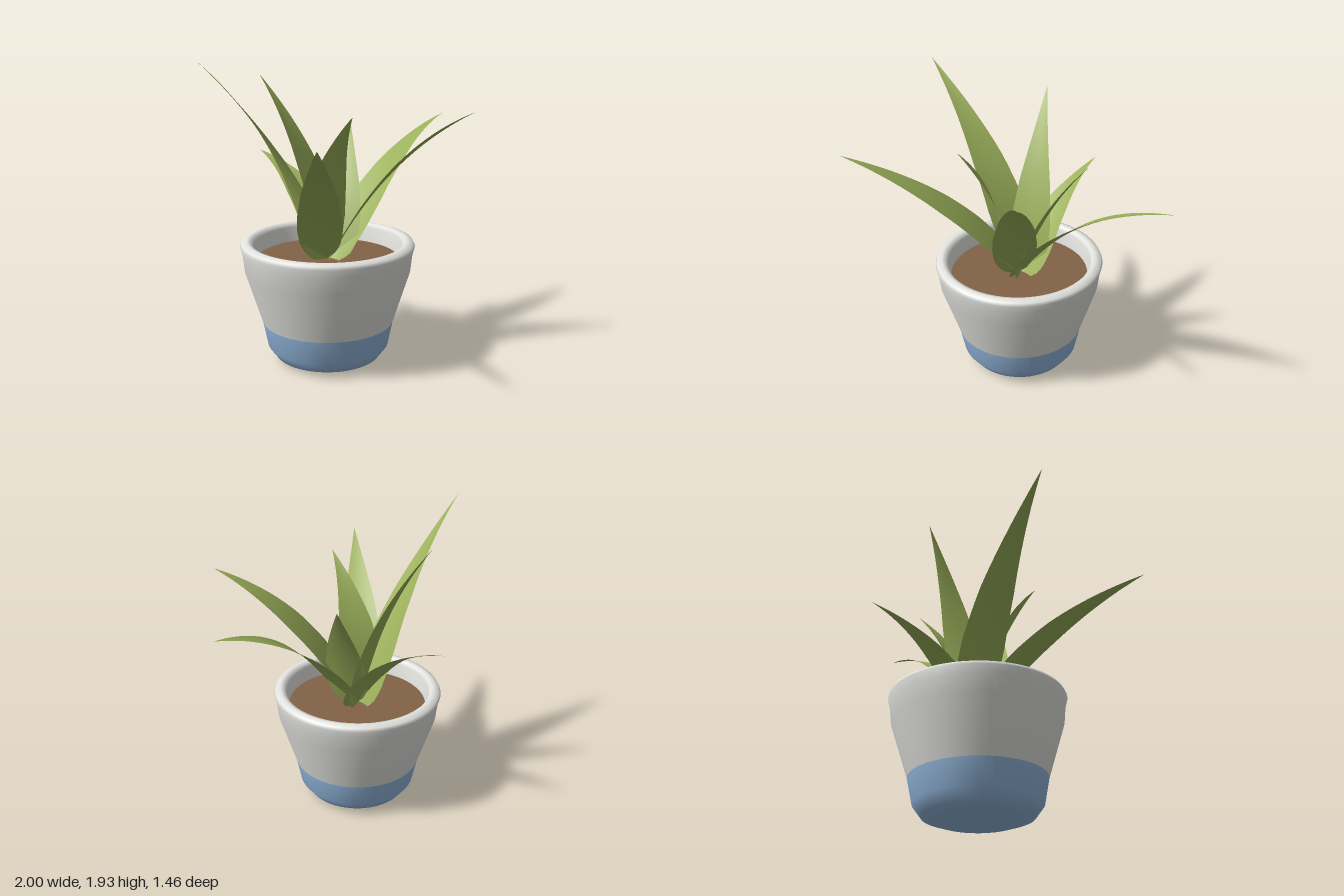
import * as THREE from 'three';

const CX = -0.145; // the pot sits off centre because the leaves lean right
const V = (x, y, z) => new THREE.Vector3(x, y, z);

function lathe(points, material, name) {
  const geo = new THREE.LatheGeometry(points.map(([r, y]) => new THREE.Vector2(r, y)), 64);
  const mesh = new THREE.Mesh(geo, material);
  mesh.name = name;
  mesh.position.x = CX;
  return mesh;
}

// Leaf width along its length: rounded foot, broad lower third, sharp tip
const WIDTHS = [[0, 0.1], [0.04, 0.2], [0.1, 0.255], [0.18, 0.28], [0.28, 0.28],
  [0.5, 0.215], [0.7, 0.125], [0.85, 0.06], [1, 0]];
function widthAt(t) {
  let i = 1;
  while (i < WIDTHS.length - 1 && t > WIDTHS[i][0]) i++;
  const [t0, w0] = WIDTHS[i - 1], [t1, w1] = WIDTHS[i];
  return w0 + (w1 - w0) * (t - t0) / (t1 - t0);
}

// Arched blade swept along a curve, twisting towards its tip, with a shallow trough
function leafGeometry(base, bend, tip, left, twist) {
  const curve = new THREE.QuadraticBezierCurve3(base, bend, tip);
  const rows = 28, cols = 6, pos = [], index = [];
  for (let i = 0; i <= rows; i++) {
    const t = i / rows, p = curve.getPoint(t), w = widthAt(t);
    const tangent = curve.getTangent(t);
    const side = left.clone().applyAxisAngle(tangent, -twist * t);
    const up = tangent.clone().cross(side).normalize();
    for (let j = 0; j <= cols; j++) {
      const u = j / cols * 2 - 1;
      const q = p.clone().addScaledVector(side, u * w / 2).addScaledVector(up, (u * u - 0.4) * w * 0.04);
      pos.push(q.x, q.y, q.z);
      if (i < rows && j < cols) {
        const a = i * (cols + 1) + j, b = a + cols + 1;
        index.push(a, a + 1, b, a + 1, b + 1, b);
      }
    }
  }
  const geo = new THREE.BufferGeometry();
  geo.setAttribute('position', new THREE.Float32BufferAttribute(pos, 3));
  geo.setIndex(index);
  geo.computeVertexNormals();
  return geo;
}

export function createModel() {
  const group = new THREE.Group();
  group.name = 'pottedPlant';
  const make = (name, color, side = THREE.FrontSide) => {
    const m = new THREE.MeshStandardMaterial({ color, side });
    m.name = name;
    return m;
  };
  const glaze = make('whiteGlaze', 0xe2e2df);
  const blue = make('blueGlaze', 0x94b8de);
  const earth = make('brownSoil', 0x826245);
  const green = make('leafGreen', 0x9bb05a, THREE.DoubleSide);

  // Pot: blue foot, white wall with a rounded rim and inner wall
  group.add(lathe([[0, 0], [0.25, 0], [0.338, 0.03], [0.39, 0.1], [0.422, 0.26]], blue, 'potFoot'));
  group.add(lathe([
    [0.422, 0.26], [0.528, 0.6], [0.54, 0.71], [0.553, 0.757], [0.543, 0.778],
    [0.51, 0.79], [0.485, 0.783], [0.47, 0.76], [0.452, 0.63],
  ], glaze, 'potWall'));

  // Soil disc
  const soil = new THREE.Mesh(new THREE.CircleGeometry(0.455, 64).rotateX(-Math.PI / 2), earth);
  soil.name = 'soil';
  soil.position.set(CX, 0.665, 0);
  group.add(soil);

  // Leaves: bend point, tip and twist of each blade
  const leaves = [
    [V(-0.08, 1.15, -0.25), V(-0.06, 1.27, -0.73), 0.25],
    [V(-0.12, 1.3, -0.12), V(-0.28, 1.81, -0.465), 0.12],
    [V(0.02, 1.18, 0), V(0.27, 1.49, -0.19), 0.3],
    [V(0.35, 1.36, 0.07), V(1.0, 1.5, 0.04), 0.17],
    [V(0.1, 1.36, 0.29), V(0.43, 1.6, 0.69), 0.4],
    [V(-0.25, 1.24, 0.06), V(-0.31, 1.61, 0.365), 0.4],
    [V(-0.48, 1.25, 0.27), V(-0.955, 1.535, 0.725), 0.28],
    [V(-0.4, 1.42, -0.09), V(-1.0, 1.93, -0.14), 0.42],
  ];
  leaves.forEach(([bend, tip, twist], i) => {
    // Each foot is set a little to the right of its own direction, so the rosette spirals
    const out = V(tip.x - CX, 0, tip.z).normalize();
    const left = V(out.z, 0, -out.x);
    const base = V(CX, 0.665, 0).addScaledVector(out, 0.01).addScaledVector(left, -0.05);
    const leaf = new THREE.Mesh(leafGeometry(base, bend, tip, left, twist), green);
    leaf.name = 'leaf' + (i + 1);
    group.add(leaf);
  });
  return group;
}
